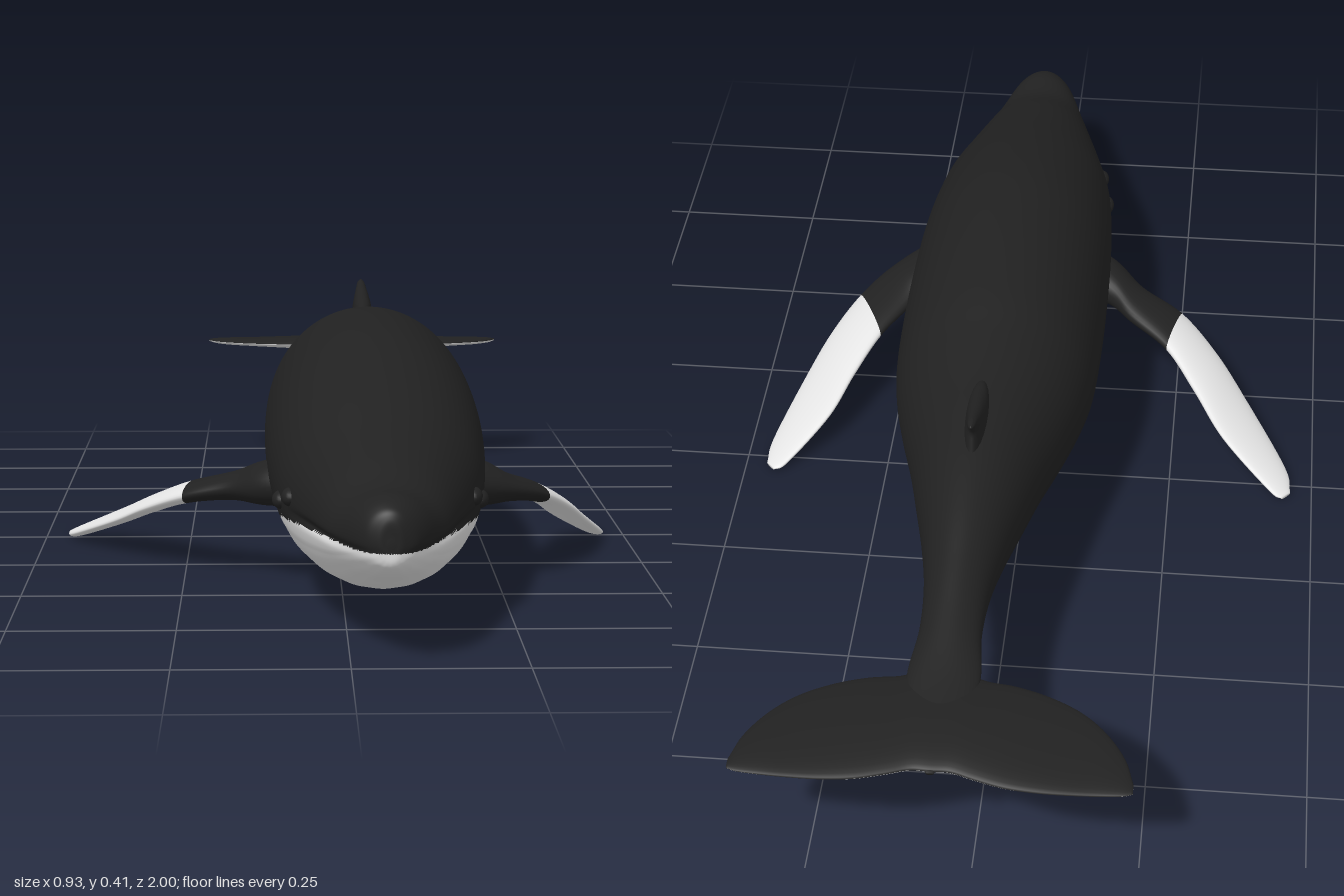
import * as THREE from 'three';

const black = new THREE.MeshStandardMaterial({ color: 0x212121 });
black.name = 'darkSkin';
const white = new THREE.MeshStandardMaterial({ color: 0xe4e4e4 });
white.name = 'paleSkin';

const CX = 0.055; // the spine lies slightly off the centre line

// Smoothly interpolates rows of numbers; t runs 0..1 over the row index
function rowSampler(rows) {
  const curves = rows[0].map((_, k) => new THREE.CatmullRomCurve3(
    rows.map(r => new THREE.Vector3(r[k], 0, 0)), false, 'catmullrom', 0.5));
  return t => curves.map(c => c.getPoint(t).x);
}

// Piecewise linear lookup in [key, value] pairs with falling keys
function lookup(table, key) {
  for (let i = 1; i < table.length; i++) {
    const [k0, v0] = table[i - 1], [k1, v1] = table[i];
    if (key <= k0 && key >= k1) return v0 + (v1 - v0) * (k0 - key) / (k0 - k1);
  }
  return -1;
}

// Closed loft of rings; isWhite(centre, t) picks the colour of each triangle
function loft(name, nu, nv, point, isWhite) {
  const pos = [], dark = [], pale = [], tris = [];
  for (let i = 0; i <= nu; i++)
    for (let j = 0; j < nv; j++) pos.push(...point(i / nu, j / nv * Math.PI * 2));
  // end caps
  for (const row of [0, nu]) {
    const c = [0, 0, 0];
    for (let j = 0; j < nv; j++)
      for (let k = 0; k < 3; k++) c[k] += pos[(row * nv + j) * 3 + k] / nv;
    pos.push(...c);
  }
  const capA = (nu + 1) * nv, capB = capA + 1;
  for (let j = 0; j < nv; j++) {
    const n = (j + 1) % nv;
    tris.push([capA, n, j, 0], [capB, nu * nv + j, nu * nv + n, 1]);
    for (let i = 0; i < nu; i++) {
      const a = i * nv + j, b = i * nv + n;
      tris.push([a, b, a + nv, (i + 0.5) / nu], [b, b + nv, a + nv, (i + 0.5) / nu]);
    }
  }
  const v = k => new THREE.Vector3().fromArray(pos, k * 3);
  // signed volume tells whether the faces point outward
  let volume = 0;
  for (const [a, b, c] of tris) volume += v(a).dot(v(b).cross(v(c)));
  for (const [a, b, c, t] of tris) {
    const centre = v(a).add(v(b)).add(v(c)).divideScalar(3);
    (isWhite(centre, t) ? pale : dark).push(...(volume > 0 ? [a, b, c] : [a, c, b]));
  }
  const g = new THREE.BufferGeometry();
  g.setAttribute('position', new THREE.Float32BufferAttribute(pos, 3));
  g.setIndex([...dark, ...pale]);
  g.addGroup(0, dark.length, 0);
  g.addGroup(dark.length, pale.length, 1);
  g.computeVertexNormals();
  const mesh = new THREE.Mesh(g, [black, white]);
  mesh.name = name;
  return mesh;
}

// Body sections from snout to tail: z, top, bottom, half width
const bodyRows = rowSampler([
  [1, .18, .17, .005], [.998, .21, .147, .02], [.985, .226, .135, .04],
  [.95, .237, .12, .06], [.88, .238, .1, .085], [.8, .265, .075, .107],
  [.7, .297, .052, .133], [.6, .33, .038, .155], [.5, .36, .028, .166],
  [.4, .385, .02, .172], [.3, .4, .014, .175], [.15, .407, .012, .176],
  [0, .401, .025, .172], [-.1, .386, .058, .16], [-.2, .374, .085, .138],
  [-.3, .366, .11, .112], [-.4, .355, .135, .09], [-.5, .336, .165, .069],
  [-.6, .311, .195, .053], [-.7, .286, .22, .048], [-.8, .263, .233, .055],
  [-.9, .246, .23, .035], [-.975, .234, .229, .006]]);

// Height of the pale belly's edge along z (-1 means none)
const bellyEdge = [[1.1, .162], [.9, .162], [.75, .156], [.6, .145], [.5, .125], [.3, .12],
  [.15, .105], [0, .1], [-.1, .112], [-.165, .12], [-.17, -1], [-.33, -1], [-.335, .13],
  [-.38, .158], [-.45, .165], [-.47, .155], [-.475, -1], [-.57, -1], [-.575, .19],
  [-.7, .236], [-.8, .248], [-.86, .236], [-.87, -1]];

function bodyPoint(t, a) {
  const [z, top, bottom, w] = bodyRows(t);
  const mid = (top + bottom) / 2, h = (top - bottom) / 2;
  let x = w * Math.sin(a), y = mid + h * Math.cos(a);
  // mouth crease
  const crease = THREE.MathUtils.smoothstep(z, 0.62, 0.8) * Math.exp(-(((y - 0.163) / 0.006) ** 2));
  // throat pleats
  const pleat = y < mid - h * 0.4
    ? 0.006 * THREE.MathUtils.smoothstep(z, 0, 0.3) * (1 - Math.cos(a * 20)) / 2 : 0;
  const k = 1 - 0.06 * crease - pleat;
  x *= k;
  y = mid + (y - mid) * k;
  return [CX + x, y, z];
}

// Flipper sections from shoulder to tip: leading x, z, trailing x, z, height, half thickness
const rightFlipper = [
  [-.02, .47, -.02, .36, .17, .045], [-.12, .425, -.115, .32, .158, .036],
  [-.18, .365, -.16, .275, .145, .023], [-.255, .32, -.23, .215, .126, .017],
  [-.32, .25, -.285, .135, .095, .015], [-.375, .17, -.34, .05, .06, .013],
  [-.452, .035, -.425, -.03, .014, .009], [-.463, -.025, -.448, -.042, .006, .003]];
const leftFlipper = [
  [.12, .5, .12, .36, .17, .045], [.225, .44, .222, .32, .158, .036],
  [.29, .39, .24, .285, .145, .023], [.34, .325, .287, .21, .126, .017],
  [.383, .25, .325, .13, .095, .015], [.417, .17, .36, .05, .06, .013],
  [.46, .035, .425, -.03, .014, .009], [.463, -.025, .448, -.042, .006, .003]];

function flipper(name, rows) {
  const sample = rowSampler(rows);
  const edge = 3 / (rows.length - 1); // the dark shoulder ends at the fourth section
  return loft(name, 56, 32, (t, a) => {
    const [lx, lz, tx, tz, y, h] = sample(t);
    const m = (1 + Math.cos(a)) / 2;
    return [tx + (lx - tx) * m, y + h * Math.sin(a), tz + (lz - tz) * m];
  }, (c, t) => t > edge);
}

// Fluke half span: distance from spine, leading z, trailing z, half thickness
const flukeRows = rowSampler([
  [0, -.77, -.972, .014], [.03, -.775, -.972, .014], [.065, -.79, -.983, .013],
  [.11, -.797, -.995, .012], [.16, -.813, -1, .01], [.21, -.84, -1, .008],
  [.25, -.878, -.998, .007], [.28, -.925, -.995, .005], [.295, -.972, -.99, .002]]);
const flukeHeight = z => 0.231 + (z + 1) * 0.06;

function flukePoint(t, a) {
  const s = t * 2 - 1;
  const [d, front, back, h] = flukeRows(Math.abs(s));
  const z = (front + back) / 2 + (front - back) / 2 * Math.cos(a);
  return [CX + Math.sign(s) * d, flukeHeight(z) + h * Math.sin(a), z];
}

// Back fin sections upward: y, front z, rear z, half thickness
const finRows = rowSampler([
  [.33, -.18, -.4, .022], [.37, -.22, -.388, .017], [.387, -.275, -.384, .013],
  [.4, -.33, -.39, .009], [.408, -.36, -.396, .006], [.412, -.375, -.394, .002]]);

function finPoint(t, a) {
  const [y, front, back, h] = finRows(t);
  return [CX + h * Math.sin(a), y, (front + back) / 2 + (front - back) / 2 * Math.cos(a)];
}

export function createModel() {
  const whale = new THREE.Group();
  whale.name = 'whale';
  whale.add(
    loft('body', 220, 128, bodyPoint, c => c.y < lookup(bellyEdge, c.z)),
    flipper('rightFlipper', rightFlipper),
    flipper('leftFlipper', leftFlipper),
    loft('tailFluke', 80, 32, flukePoint, c => c.y < flukeHeight(c.z)),
    loft('backFin', 24, 24, finPoint, () => false));

  // Eye bulges and brow bumps on both sides of the head
  for (const side of [-1, 1]) {
    for (const [name, x, y, z] of [['eye', .15, .17, .6], ['brow', .136, .185, .665]]) {
      const bump = new THREE.Mesh(new THREE.SphereGeometry(0.018, 20, 14), black);
      bump.name = (side < 0 ? 'right' : 'left') + name[0].toUpperCase() + name.slice(1);
      bump.position.set(CX + side * x, y, z);
      bump.scale.set(0.8, 0.8, 1.3);
      whale.add(bump);
    }
  }
  return whale;
}
